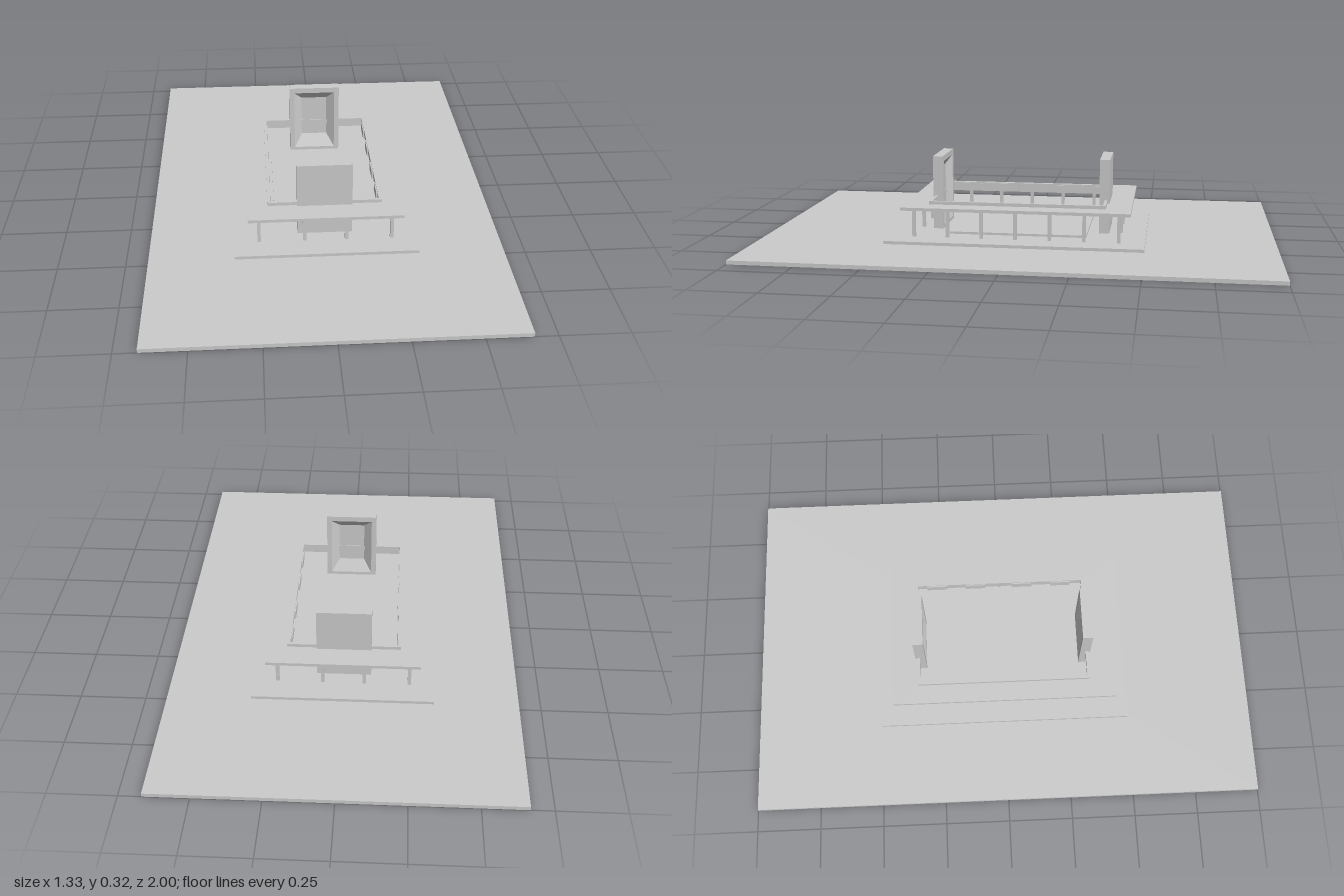
import * as THREE from 'three';

const material = new THREE.MeshStandardMaterial({ color: 0xcccccc, flatShading: true });

export function createModel() {
  const model = new THREE.Group();

  function add(name, geometry, parent = model) {
    const mesh = new THREE.Mesh(geometry, material);
    mesh.name = name;
    parent.add(mesh);
    return mesh;
  }

  // Box given by its full width, y range and full depth
  function slab(name, w, y0, y1, d, x = 0, z = 0) {
    const mesh = add(name, new THREE.BoxGeometry(w, y1 - y0, d));
    mesh.position.set(x, (y0 + y1) / 2, z);
    return mesh;
  }

  function rectangle(target, hx, y0, y1) {
    target.moveTo(-hx, y0);
    target.lineTo(hx, y0);
    target.lineTo(hx, y1);
    target.lineTo(-hx, y1);
    target.closePath();
    return target;
  }

  // Horizontal rectangular frame, given by half sizes
  function frame(name, ox, oz, ix, iz, y0, y1) {
    const shape = rectangle(new THREE.Shape(), ox, -oz, oz);
    shape.holes.push(rectangle(new THREE.Path(), ix, -iz, iz));
    const geometry = new THREE.ExtrudeGeometry(shape, { depth: y1 - y0, bevelEnabled: false });
    geometry.rotateX(-Math.PI / 2).translate(0, y0, 0);
    return add(name, geometry);
  }

  // Stepped ground slabs
  slab('ground', 1.333, 0, 0.015, 2);
  slab('terrace', 0.692, 0.015, 0.027, 1);
  slab('courtFloor', 0.38, 0.027, 0.036, 0.54);

  // Ring roof with a beam below and a kerb above
  frame('roof', 0.293, 0.445, 0.208, 0.336, 0.137, 0.149);
  frame('roofBeam', 0.227, 0.355, 0.21, 0.338, 0.124, 0.137);
  frame('roofKerb', 0.218, 0.346, 0.207, 0.335, 0.149, 0.162);

  // Short rails along the inner edge of the roof
  for (const x of [-0.207, 0.207])
    for (const z of [-0.26, -0.1, 0.09, 0.25])
      slab('roofRail', 0.009, 0.126, 0.158, 0.08, x, z);

  // Columns around the outer edge: 7 per long side, 4 per short side
  const column = (x, z) => slab('column', 0.013, 0.027, 0.137, 0.013, x, z);
  for (const side of [-1, 1]) {
    for (let i = 0; i < 7; i++) column(side * 0.253, -0.4 + i * 0.4 / 3);
    for (const x of [-0.08, 0.08]) column(x, side * 0.4);
  }

  // Upright slab with a splayed niche in its inner (+z) face
  function tower(name) {
    const group = new THREE.Group();
    group.name = name;
    const bottom = 0.027, top = 0.322, depth = 0.04, niche = 0.024;

    const back = add('towerBack', new THREE.BoxGeometry(0.21, top - bottom, depth - niche), group);
    back.position.set(0, (top + bottom) / 2, (depth - niche) / 2);

    const outline = rectangle(new THREE.Shape(), 0.105, bottom, top);
    outline.holes.push(rectangle(new THREE.Path(), 0.085, 0.04, 0.3));
    const rim = new THREE.ExtrudeGeometry(outline, { depth: niche, bevelEnabled: false });
    add('towerFrame', rim.translate(0, 0, depth - niche), group);

    // Sloping faces between the opening and the niche's back panel
    const corners = (hx, y0, y1, z) => [[-hx, y0, z], [hx, y0, z], [hx, y1, z], [-hx, y1, z]];
    const outer = corners(0.085, 0.04, 0.3, depth);
    const inner = corners(0.053, 0.095, 0.268, depth - niche + 0.001);
    const points = [];
    for (let i = 0; i < 4; i++) {
      const j = (i + 1) % 4;
      points.push(...outer[i], ...outer[j], ...inner[j], ...outer[i], ...inner[j], ...inner[i]);
    }
    const splay = new THREE.BufferGeometry();
    splay.setAttribute('position', new THREE.Float32BufferAttribute(points, 3));
    splay.computeVertexNormals();
    add('nicheSplay', splay, group);
    return group;
  }

  const backTower = tower('backTower');
  backTower.position.z = -0.354;
  const frontTower = tower('frontTower');
  frontTower.position.z = 0.354;
  frontTower.rotation.y = Math.PI;
  model.add(backTower, frontTower);

  return model;
}
